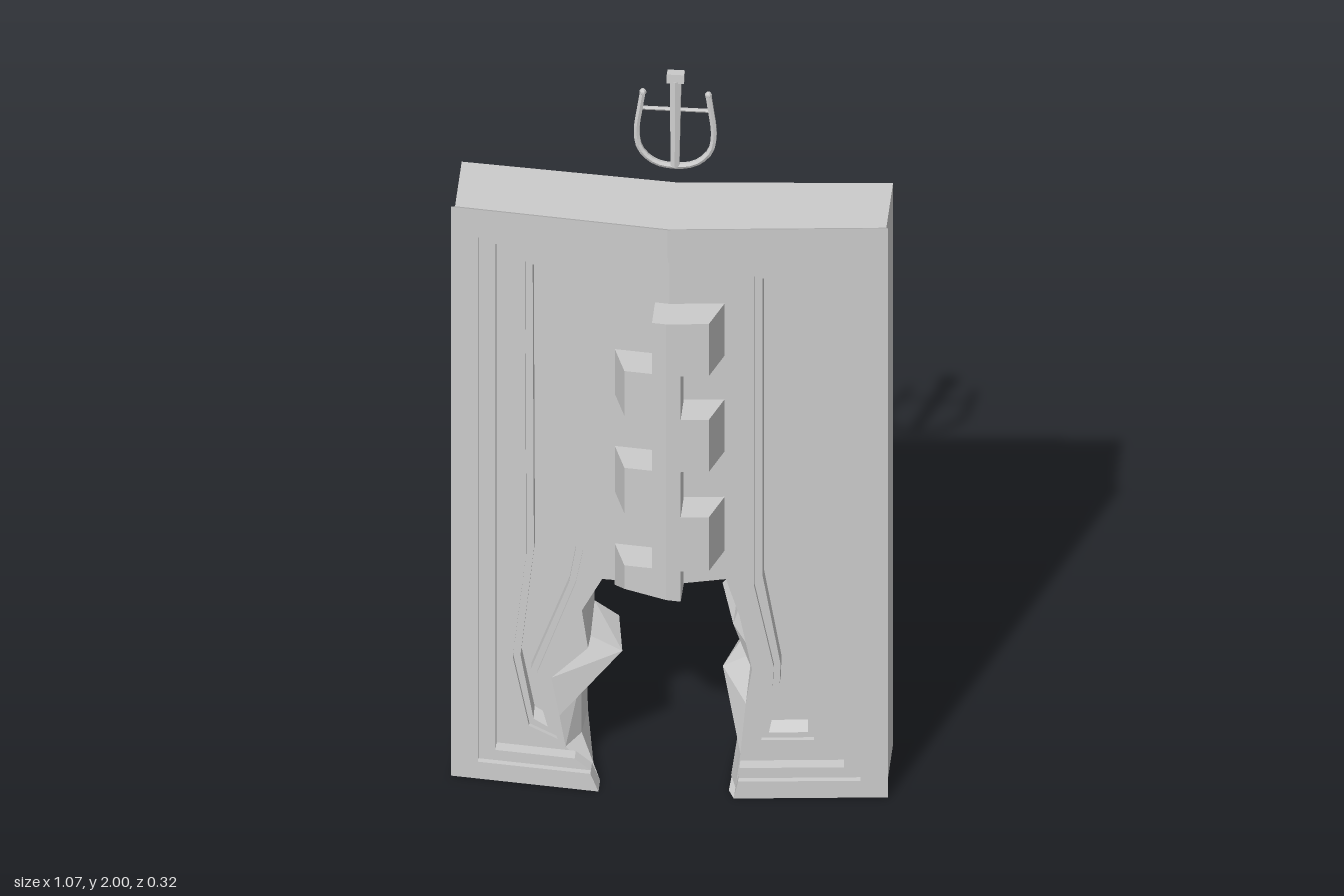
import * as THREE from 'three';

const grey = new THREE.MeshStandardMaterial({ color: 0xcccccc, flatShading: true, side: THREE.DoubleSide });

// Surfaces of the bent slab: depth behind the front plane, or bulge behind the back plane
const front = d => ([x, y]) => [x, y, 0.117 - 0.1 * Math.abs(x) - d];
const back = ([x, y, bulge = 0]) => [x, y, -0.117 - 0.08 * Math.abs(x) - bulge];

function add(parent, name, geometry) {
  const g = geometry.index ? geometry.toNonIndexed() : geometry;
  g.computeVertexNormals();
  const mesh = new THREE.Mesh(g, grey);
  mesh.name = name;
  parent.add(mesh);
  return mesh;
}

// Flat outline (with optional hole) laid onto a slab surface
function face(outline, place, hole) {
  const toV = pts => pts.map(p => new THREE.Vector2(p[0], p[1]));
  const shape = new THREE.Shape(toV(outline));
  if (hole) shape.holes.push(new THREE.Path(toV(hole)));
  const g = new THREE.ShapeGeometry(shape);
  const pos = g.attributes.position;
  for (let i = 0; i < pos.count; i++) pos.setXYZ(i, ...place([pos.getX(i), pos.getY(i)]));
  if (place === back) g.index.array.reverse();
  return g;
}

// Skin between successive rows of 3D points
function loft(rows, closed) {
  const n = rows[0].length, index = [];
  for (let r = 0; r < rows.length - 1; r++) {
    for (let i = 0; i < (closed ? n : n - 1); i++) {
      const a = r * n + i, b = r * n + (i + 1) % n;
      index.push(a, a + n, b, b, a + n, b + n);
    }
  }
  const g = new THREE.BufferGeometry();
  g.setAttribute('position', new THREE.Float32BufferAttribute(rows.flat(2), 3));
  g.setIndex(index);
  return g;
}

// Broken opening, from the top middle down: front edge, jagged middle, back edge, start of the back bulge
const sides = {
  left: {
    s: 1,
    F: [[0, .605], [.137, .62], [.17, .51], [.185, .43], [.2, .35], [.185, .25], [.172, .1], [.16, 0]],
    M: [[0, .607], [.135, .62], [.165, .5], [.15, .45], [.195, .36], [.125, .325], [.165, .15], [.145, 0]],
    B: [[0, .605], [.13, .62, .005], [.16, .53, .015], [.11, .455, .035], [.19, .36, .01], [.15, .3, .01], [.165, .12], [.15, 0]],
    R: [[0, .8], [.2, .8], [.3, .6], [.34, .47], [.34, .35], [.3, .25], [.3, .1], [.3, 0]],
    ends: [.16, .17, .172],
    slot: [[.205, 1.52], [.35, 1.52], [.35, .14], [.222, .14], [.25, .3], [.252, .36], [.205, .6]],
    slotInner: [[.225, 1.505], [.335, 1.505], [.335, .155], [.24, .155], [.266, .3], [.268, .36], [.225, .62]],
  },
  right: {
    s: -1,
    F: [[0, .605], [-.165, .6], [-.215, .5], [-.2, .39], [-.29, .29], [-.27, .18], [-.255, .09], [-.17, 0]],
    M: [[0, .607], [-.165, .58], [-.21, .51], [-.198, .39], [-.12, .355], [-.22, .27], [-.22, .1], [-.19, 0]],
    B: [[0, .605], [-.16, .575, .003], [-.2, .5, .003], [-.2, .4, .005], [-.14, .36, .008], [-.22, .27], [-.216, .08], [-.21, 0]],
    R: [[0, .8], [-.2, .75], [-.28, .6], [-.3, .45], [-.3, .35], [-.3, .25], [-.3, .1], [-.3, 0]],
    ends: [.17, .19, .23],
    slot: [[-.355, 1.52], [-.212, 1.52], [-.212, .68], [-.23, .58], [-.325, .3], [-.275, .11], [-.345, .14], [-.385, .34], [-.352, .65]],
    slotInner: [[-.337, 1.505], [-.23, 1.505], [-.23, .68], [-.248, .57], [-.342, .3], [-.3, .135], [-.335, .155], [-.367, .34], [-.334, .66]],
  },
};

function buildHalf(name, { s, F, M, B, R, ends, slot, slotInner }) {
  const half = new THREE.Group();
  half.name = name + 'Half';
  const PANEL = .047;

  // Recessed panel, back face and its bulge toward the opening
  add(half, 'panel', face([[0, 1.65], [s * .5, 1.65], [s * .5, 0], ...[...F].reverse()], front(PANEL), slot));
  add(half, 'backFace', face([[0, 1.67], [s * .526, 1.67], [s * .526, 0], ...[...R].reverse()], back));
  add(half, 'backBulge', loft([R.map(back), B.map(back)]));

  // Jagged wall through the opening
  add(half, 'brokenEdge', loft([F.map(front(PANEL)), M.map(front(.1)), B.map(back)]));

  // Top, outer side and underside, flaring toward the front
  const rim = (x, y, i) => [[0, y], [s * x, y], [s * x, 0], i];
  add(half, 'outerSide', loft([
    rim(.533, 1.692, F[7]).map(front(0)),
    rim(.526, 1.67, M[7]).map(front(.035)),
    rim(.526, 1.67, B[7]).map(back),
  ]));

  // Two stepped frame bands
  const steps = [[.533, 1.692, 0], [.467, 1.61, .05], [.425, 1.585, .08]];
  [0, .015].forEach((depth, k) => {
    const [x0, t0, b0] = steps[k], [x1, t1, b1] = steps[k + 1];
    const band = [[0, t0], [s * x0, t0], [s * x0, b0], [s * ends[k], b0],
      [s * ends[k + 1], b1], [s * x1, b1], [s * x1, t1], [0, t1]];
    add(half, k ? 'innerFrame' : 'outerFrame', face(band, front(depth)));
    // inner step and broken end
    const edge = band.slice(3);
    add(half, 'frameStep', loft([edge.map(front(depth)), edge.map(front(PANEL))]));
  });

  // Long stepped slot with a sloping top and bottom
  const floor = slotInner.map(([x, y]) => [x, y > 1.4 ? y - .018 : y < .2 ? y + .015 : y]);
  add(half, 'slotWall', loft([slot.map(front(PANEL)), slot.map(front(.058)),
    slotInner.map(front(.058)), floor.map(front(.09))], true));
  add(half, 'slotFloor', face(floor, front(.09)));
  return half;
}

// Interlocking tooth; the outer side tapers and the bottom may be uneven
function buildTooth(parent, s, y0, y1, bottoms) {
  const section = [[s * .135, .05], [s * .103, -.04], [0, -.04], [s * -.035, -.04], [s * -.035, .05]];
  const row = ys => section.map(([x, d], i) => front(d)([x, Array.isArray(ys) ? ys[i] : ys]));
  const low = row(bottoms || y0), high = row(y1);
  const centre = r => r.map(() => r.reduce((a, p) => a.map((v, k) => v + p[k] / r.length), [0, 0, 0]));
  add(parent, 'tooth', loft([centre(low), low, high, centre(high)], true));
}

// Small hanging handle above the slab
function buildHandle() {
  const handle = new THREE.Group();
  handle.name = 'handle';
  const bowPts = [[-.08, .21], [-.086, .17], [-.094, .1], [-.085, .05], [-.05, .015], [0, .005]];
  const mirrored = bowPts.slice(0, -1).reverse().map(([x, y]) => [-x, y]);
  const curve = new THREE.CatmullRomCurve3([...bowPts, ...mirrored].map(([x, y]) => new THREE.Vector3(x, y, 0)));
  add(handle, 'bow', new THREE.TubeGeometry(curve, 28, .008, 6));
  for (const s of [-1, 1]) {
    add(handle, 'bowTip', new THREE.SphereGeometry(.009, 6, 5)).position.set(s * .08, .21, 0);
  }
  const bar = add(handle, 'crossbar', new THREE.CylinderGeometry(.005, .005, .165, 6));
  bar.rotation.z = Math.PI / 2;
  bar.position.y = .165;
  add(handle, 'shank', new THREE.CylinderGeometry(.016, .012, .245, 6)).position.y = .127;
  add(handle, 'head', new THREE.BoxGeometry(.042, .025, .024)).position.set(0, .257, 0);
  handle.position.set(0, 1.731, -.094);
  handle.rotation.x = -.07;
  return handle;
}

export function createModel() {
  const model = new THREE.Group();
  model.name = 'brokenGate';
  for (const name in sides) model.add(buildHalf(name, sides[name]));

  const teeth = new THREE.Group();
  teeth.name = 'teeth';
  for (const [y0, y1] of [[1.285, 1.44], [1, 1.155], [.705, .865]]) buildTooth(teeth, 1, y0, y1);
  for (const [y0, y1] of [[1.155, 1.288], [.865, 1]]) buildTooth(teeth, -1, y0, y1);
  buildTooth(teeth, -1, .6, .71, [.585, .64, .62, .615, .605]);
  model.add(teeth);

  model.add(buildHandle());
  return model;
}
